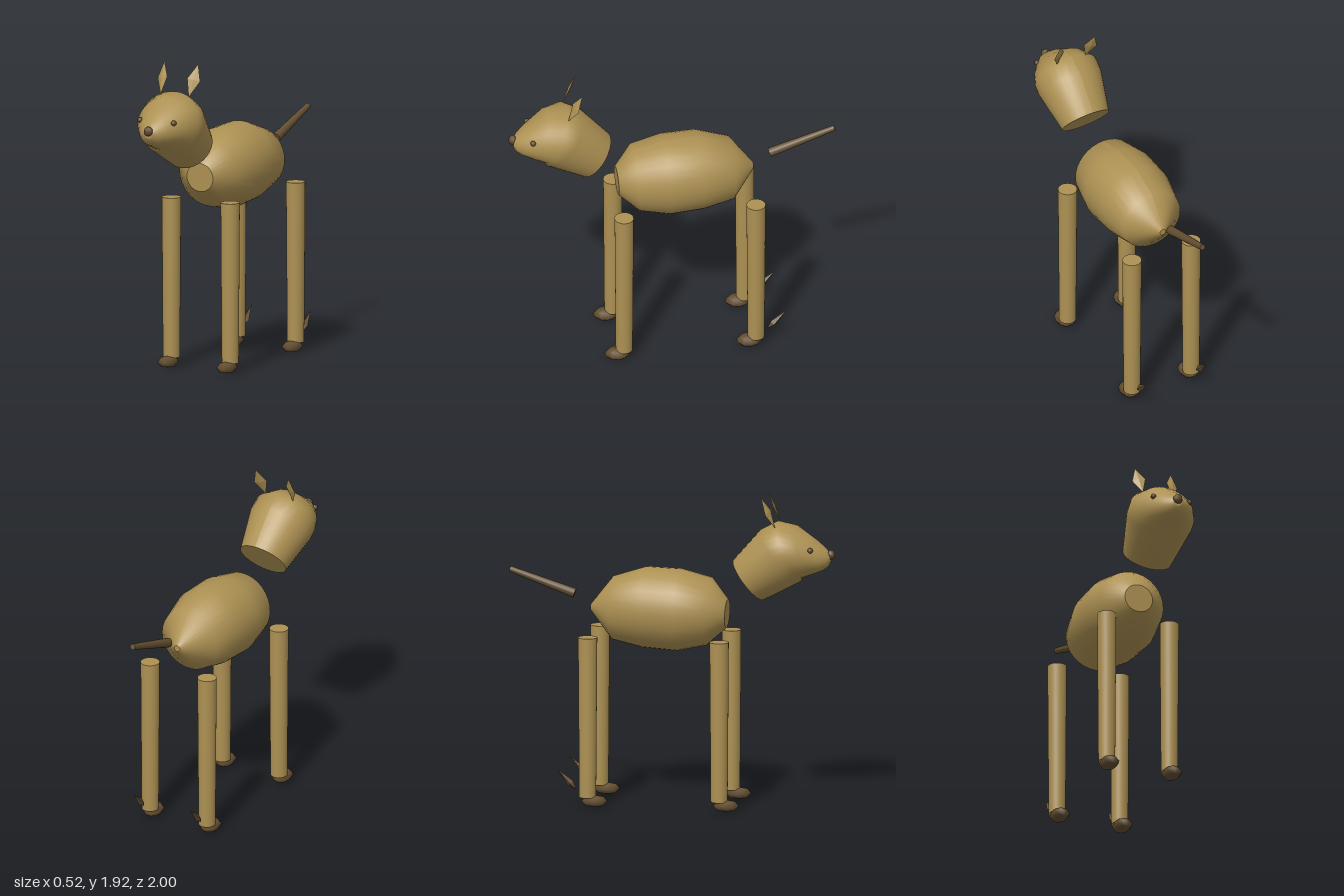
import * as THREE from 'three';

const SEG = 32;

// Closed tube through upright rings [topZ, topY, bottomZ, bottomY, halfWidth], ordered back to front
function loft(rings) {
  const pos = [], idx = [];
  const addRing = ([tz, ty, bz, by, w]) => {
    const start = pos.length / 3;
    for (let j = 0; j <= SEG; j++) {
      const a = (j / SEG) * Math.PI * 2, c = Math.cos(a) / 2;
      pos.push(w * Math.sin(a), (ty + by) / 2 + (ty - by) * c, (tz + bz) / 2 + (tz - bz) * c);
    }
    return start;
  };
  const starts = rings.map(addRing);
  for (let i = 0; i < rings.length - 1; i++) {
    for (let j = 0; j < SEG; j++) {
      const p = starts[i] + j, q = starts[i + 1] + j;
      idx.push(p, q, p + 1, p + 1, q, q + 1);
    }
  }
  // flat end caps with their own vertices so the rims stay sharp
  [rings[0], rings[rings.length - 1]].forEach((r, end) => {
    const s = addRing(r), centre = pos.length / 3;
    pos.push(0, (r[1] + r[3]) / 2, (r[0] + r[2]) / 2);
    for (let j = 0; j < SEG; j++) {
      if (end) idx.push(centre, s + j + 1, s + j);
      else idx.push(centre, s + j, s + j + 1);
    }
  });
  const g = new THREE.BufferGeometry();
  g.setAttribute('position', new THREE.Float32BufferAttribute(pos, 3));
  g.setIndex(idx);
  g.computeVertexNormals();
  return g;
}

// Four-sided, flat-faced leaf: pointed at both ends, widest at fraction t
function leaf(length, halfWidth, t, flatten) {
  const pts = [[0, 0], [halfWidth, length * t], [0, length]].map(p => new THREE.Vector2(...p));
  const g = new THREE.LatheGeometry(pts, 4).toNonIndexed();
  g.scale(1, 1, flatten);
  g.computeVertexNormals();
  return g;
}

export function createModel() {
  const model = new THREE.Group();
  model.name = 'fawn';
  const tan = new THREE.MeshStandardMaterial({ color: 0xad9153 });
  tan.name = 'tan coat';
  const brown = new THREE.MeshStandardMaterial({ color: 0x634e31 });
  brown.name = 'dark brown';

  const add = (name, geometry, material, x = 0, y = 0, z = 0) => {
    const mesh = new THREE.Mesh(geometry, material);
    mesh.name = name;
    mesh.position.set(x, y, z);
    model.add(mesh);
    return mesh;
  };
  // Stands a part that grows along +y on a start point, aimed at an end point
  const aim = (mesh, from, to) => {
    const a = new THREE.Vector3(...from), b = new THREE.Vector3(...to);
    mesh.position.copy(a);
    mesh.quaternion.setFromUnitVectors(new THREE.Vector3(0, 1, 0), b.sub(a).normalize());
  };

  // Barrel-shaped body
  add('body', loft([
    [-0.495, 1.21, -0.495, 1.17, 0.02],
    [-0.36, 1.385, -0.355, 1.0, 0.195],
    [-0.16, 1.45, -0.17, 0.957, 0.236],
    [0.05, 1.443, 0.035, 0.944, 0.242],
    [0.24, 1.396, 0.216, 0.984, 0.205],
    [0.342, 1.267, 0.336, 1.093, 0.09],
  ]), tan);

  // Neck bending forward into the head and snout
  add('headAndNeck', loft([
    [0.377, 1.513, 0.564, 1.273, 0.152],
    [0.543, 1.703, 0.794, 1.396, 0.203],
    [0.644, 1.757, 0.802, 1.42, 0.205],
    [0.757, 1.737, 0.86, 1.44, 0.165],
    [0.885, 1.65, 0.93, 1.468, 0.1],
    [0.94, 1.605, 0.962, 1.493, 0.062],
    [0.972, 1.572, 0.974, 1.52, 0.028],
  ]), tan);

  // Nose
  const nose = add('nose', new THREE.SphereGeometry(0.03, 8, 6), brown, 0, 1.564, 0.975);
  nose.scale.z = 0.85;

  // Tail
  const tailGeo = new THREE.CylinderGeometry(0.018, 0.029, 0.42, 16).translate(0, 0.21, 0);
  aim(add('tail', tailGeo, brown), [0, 1.272, -0.595], [0, 1.408, -0.995]);

  for (const side of [1, -1]) {
    const label = side > 0 ? 'left' : 'right';

    // Eyes and ears
    add(label + 'Eye', new THREE.SphereGeometry(0.017, 10, 8), brown, side * 0.116, 1.607, 0.869);
    const ear = add(label + 'Ear', leaf(0.21, 0.041, 0.52, 0.22).rotateY(side * 0.3), tan);
    aim(ear, [side * 0.097, 1.73, 0.652], [side * 0.117, 1.926, 0.566]);

    // Legs with flattened hooves
    for (const [end, z] of [['Front', 0.328], ['Back', -0.478]]) {
      add(label + end + 'Leg', new THREE.CylinderGeometry(0.058, 0.051, 0.98, 24), tan,
        side * 0.203, 0.553, z);
      const hoof = add(label + end + 'Hoof', new THREE.SphereGeometry(1, 10, 4), brown,
        side * 0.203, 0.04, z + 0.041);
      hoof.scale.set(0.058, 0.036, 0.08);
    }

    // Spur behind each back leg
    const spur = add(label + 'Spur', leaf(0.168, 0.024, 0.32, 0.9), brown);
    aim(spur, [side * 0.203, 0.106, -0.546], [side * 0.203, 0.228, -0.664]);
  }
  return model;
}
